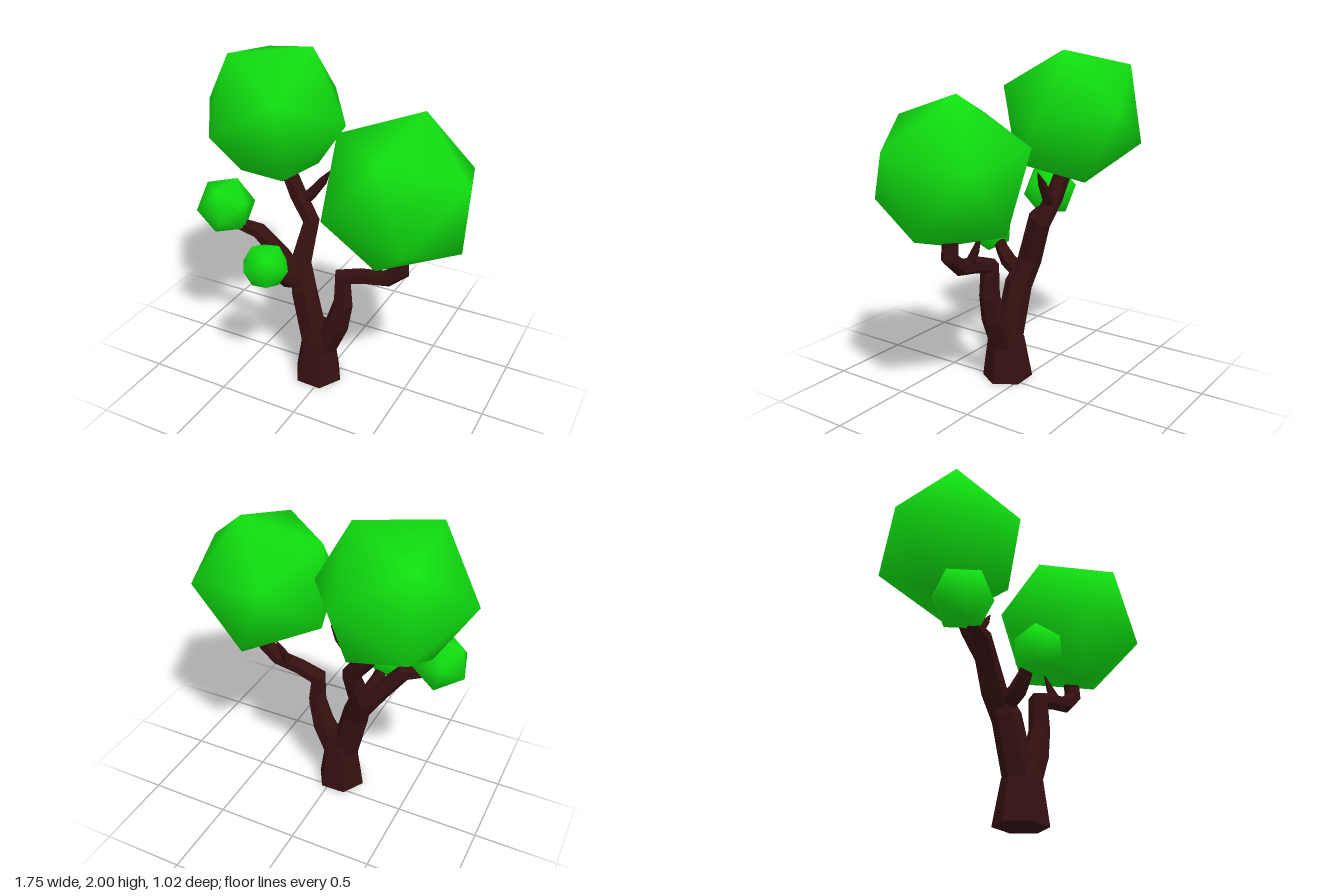
import * as THREE from 'three';

const SIDES = 6;
const V = (p) => new THREE.Vector3(...p);

// Faceted limb: hexagonal rings swept along points [x, y, z, radius], capped at both ends
function limb(name, pts, material) {
  const centres = pts.map(([x, y, z]) => V([x, y, z]));
  const pos = [], index = [];
  const last = pts.length - 1;
  centres.forEach((c, k) => {
    const t = new THREE.Vector3();
    if (k > 0) t.add(c.clone().sub(centres[k - 1]).normalize());
    if (k < last) t.add(centres[k + 1].clone().sub(c).normalize());
    t.normalize();
    const u = t.clone().cross(V([0, 0, 1])).normalize();
    const w = t.clone().cross(u);
    for (let i = 0; i < SIDES; i++) {
      const a = (i / SIDES) * Math.PI * 2, r = pts[k][3];
      const p = c.clone().addScaledVector(u, r * Math.cos(a)).addScaledVector(w, r * Math.sin(a));
      pos.push(p.x, p.y, p.z);
    }
  });
  for (let k = 0; k < last; k++) {
    for (let i = 0; i < SIDES; i++) {
      const j = (i + 1) % SIDES, a = k * SIDES, b = a + SIDES;
      index.push(a + i, a + j, b + j, a + i, b + j, b + i);
    }
  }
  for (let i = 1; i < SIDES - 1; i++) {
    const e = last * SIDES;
    index.push(0, i + 1, i, e, e + i, e + i + 1);
  }
  const indexed = new THREE.BufferGeometry();
  indexed.setAttribute('position', new THREE.Float32BufferAttribute(pos, 3));
  indexed.setIndex(index);
  const geo = indexed.toNonIndexed();
  geo.computeVertexNormals();
  const mesh = new THREE.Mesh(geo, material);
  mesh.name = name;
  return mesh;
}

// Smooth-shaded icosahedron turned so two neighbouring corners point along a and b
function foliage(name, centre, radius, a, b, material) {
  const geo = new THREE.IcosahedronGeometry(radius, 0);
  const normals = geo.attributes.position.clone();
  geo.setAttribute('normal', normals);
  geo.normalizeNormals();
  const va = V(a).normalize(), vb = V(b).normalize();
  const x = vb.clone().sub(va).normalize();
  const y = vb.clone().add(va).normalize();
  geo.applyMatrix4(new THREE.Matrix4().makeBasis(x, y, x.clone().cross(y)));
  const mesh = new THREE.Mesh(geo, material);
  mesh.name = name;
  mesh.position.set(...centre);
  return mesh;
}

export function createModel() {
  const tree = new THREE.Group();
  tree.name = 'tree';
  const bark = new THREE.MeshStandardMaterial({ color: 0x351010, flatShading: true });
  const leaf = new THREE.MeshStandardMaterial({ color: 0x10e010 });

  // Trunk and the two main limbs
  tree.add(limb('trunk', [
    [-0.045, 0, 0.105, 0.155], [-0.038, 0.26, 0.11, 0.113], [-0.02, 0.4, 0.11, 0.06],
  ], bark));
  tree.add(limb('rightLimb', [
    [-0.06, 0.24, 0.11, 0.09], [-0.145, 0.58, 0.09, 0.085], [-0.195, 0.74, 0.035, 0.07],
    [-0.17, 0.98, -0.055, 0.056], [-0.27, 1.12, -0.08, 0.055], [-0.36, 1.29, -0.1, 0.05],
  ], bark));
  tree.add(limb('leftLimb', [
    [-0.01, 0.22, 0.11, 0.085], [0.09, 0.42, 0.11, 0.075], [0.13, 0.58, 0.11, 0.062],
    [0.125, 0.76, 0.11, 0.058], [0.25, 0.8, 0.11, 0.05], [0.4, 0.825, 0.11, 0.05],
    [0.49, 0.9, 0.11, 0.05], [0.48, 1.03, 0.11, 0.045],
  ], bark));

  // Side branches carrying the small clumps
  tree.add(limb('sideBranch', [
    [-0.18, 0.63, 0.08, 0.06], [-0.29, 0.79, 0.1, 0.057],
    [-0.42, 0.945, 0.14, 0.05], [-0.58, 0.985, 0.17, 0.035],
  ], bark));
  tree.add(limb('frontBranch', [
    [-0.17, 0.65, 0.1, 0.055], [-0.19, 0.7, 0.2, 0.05],
    [-0.21, 0.76, 0.26, 0.04], [-0.23, 0.85, 0.32, 0.03],
  ], bark));

  // Bare pointed twigs
  tree.add(limb('rightTwig', [
    [-0.25, 1.08, -0.08, 0.04], [-0.18, 1.15, -0.09, 0.032],
    [-0.11, 1.24, -0.1, 0.025], [-0.065, 1.31, -0.1, 0.003],
  ], bark));
  tree.add(limb('leftTwig', [
    [0.33, 0.82, 0.1, 0.032], [0.335, 0.92, 0.05, 0.022], [0.35, 1.03, 0.0, 0.003],
  ], bark));

  // Leaf clumps
  tree.add(foliage('rightCrown', [-0.43, 1.61, -0.11], 0.45,
    [0.45, -0.015, -0.02], [0.22, 0.39, -0.07], leaf));
  tree.add(foliage('leftCrown', [0.46, 1.365, 0.11], 0.46,
    [0.08, 0.435, -0.11], [0.42, 0.165, 0.11], leaf));
  tree.add(foliage('sideClump', [-0.622, 1.08, 0.17], 0.178,
    [-0.165, -0.06, -0.04], [-0.12, 0, 0.14], leaf));
  tree.add(foliage('frontClump', [-0.235, 0.872, 0.37], 0.145,
    [-1, 0, 0.05], [-0.065, 0.01, 0.13], leaf));

  return tree;
}
